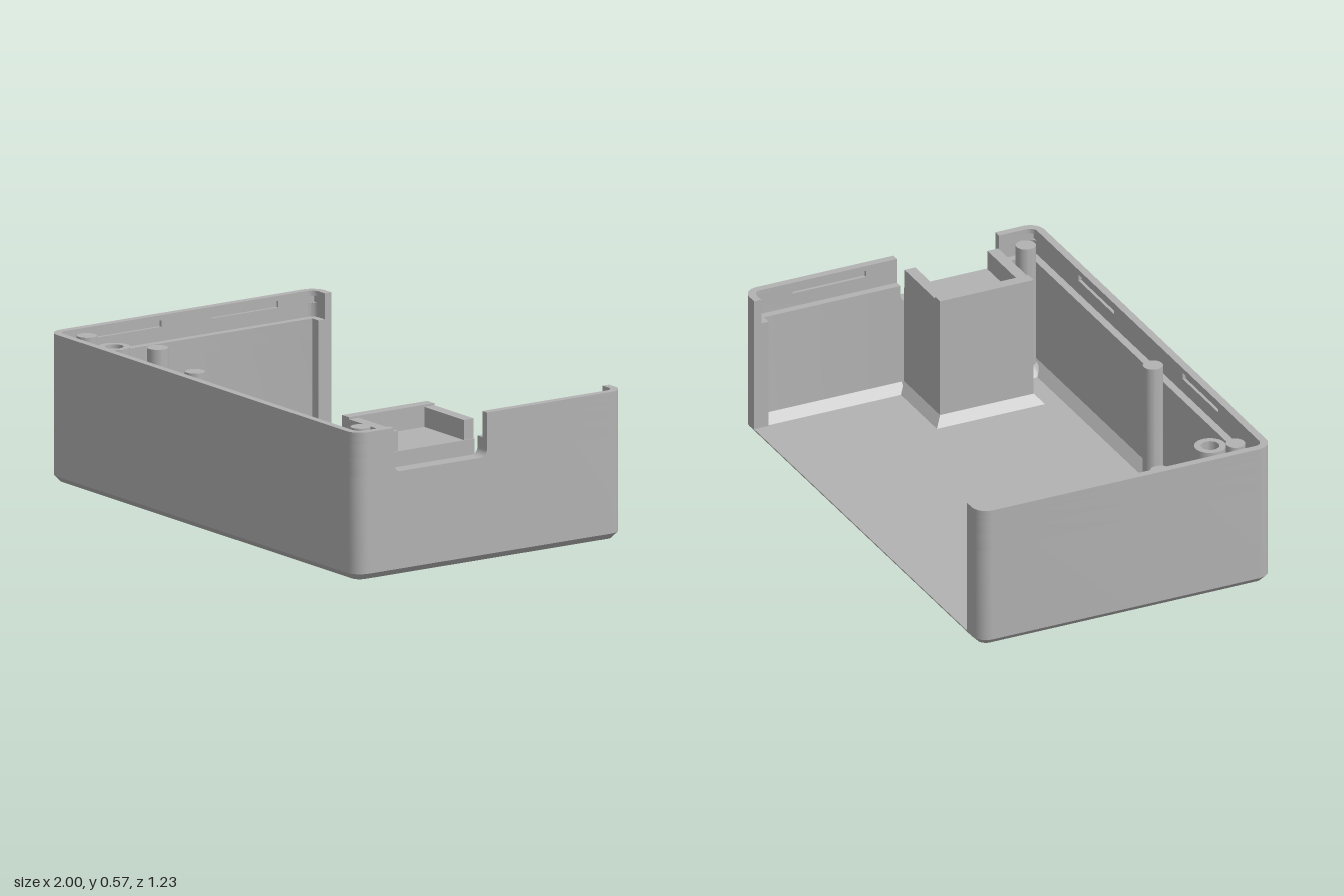
import * as THREE from 'three';
import { toCreasedNormals } from 'three/addons/utils/BufferGeometryUtils.js';

const W = 1, D = 0.615, H = 0.57;      // half width, half depth, height
const R = 0.06;                        // corner radius
const FLOOR = 0.03, LEDGE = 0.47, NOTCH = 0.4;
const IN_X = 0.94, IN_Z = 0.555;       // inner wall faces
const NZ0 = 0.015, NZ1 = 0.44;         // notch in the left wall
const BACK = 0.9;                      // half width of the open back

// one rounded plan corner: 0 back right, 1 front right, 2 front left, 3 back left
function corner(k, inset) {
  const sx = k < 2 ? -1 : 1, sz = k === 1 || k === 2 ? 1 : -1;
  const r = Math.max(R - inset, 0.002);
  const pts = [];
  for (let i = 0; i <= 8; i++) {
    const a = -Math.PI / 2 * (1 + k + i / 8);
    pts.push([sx * (W - inset - r) + r * Math.cos(a), sz * (D - inset - r) + r * Math.sin(a)]);
  }
  return pts;
}
const outline = (inset) => [0, 1, 2, 3].flatMap((k) => corner(k, inset));

// wall centre-lines, with or without the notch gap
const mainRun = (t) => [[-BACK, -D + t], ...corner(0, t), ...corner(1, t), ...corner(2, t), [W - t, NZ1]];
const backRun = (t) => [[W - t, NZ0], ...corner(3, t), [BACK, -D + t]];
const fullRun = (t) => [...mainRun(t), ...backRun(t)];

const planPts = (pts) => pts.map(([x, z]) => new THREE.Vector2(x, -z));

// extrude a plan shape upwards between two heights
function slab(shape, y0, y1) {
  const g = new THREE.ExtrudeGeometry(shape, { depth: y1 - y0, bevelEnabled: false, curveSegments: 12 });
  g.rotateX(-Math.PI / 2).translate(0, y0, 0);
  return toCreasedNormals(g, 0.5);
}
const wall = (run, t, y0, y1) =>
  slab(new THREE.Shape(planPts([...run(0), ...run(t).reverse()])), y0, y1);

// chamfered rim of the floor, lofted through inset outlines
function floorRim() {
  const loops = [[0.025, 0], [0, 0.025], [0, FLOOR], [0.025, FLOOR]];
  const pos = [], idx = [];
  const n = outline(0).length;
  loops.forEach(([inset, y]) => outline(inset).forEach(([x, z]) => pos.push(x, y, z)));
  for (let l = 0; l < loops.length - 1; l++) {
    for (let j = 0; j < n; j++) {
      const a = l * n + j, b = l * n + (j + 1) % n;
      idx.push(a, b, a + n, b, b + n, a + n);
    }
  }
  const g = new THREE.BufferGeometry();
  g.setAttribute('position', new THREE.Float32BufferAttribute(pos, 3));
  g.setIndex(idx);
  return toCreasedNormals(g, 0.5);
}

function box(x0, x1, y0, y1, z0, z1) {
  return new THREE.BoxGeometry(x1 - x0, y1 - y0, z1 - z0)
    .translate((x0 + x1) / 2, (y0 + y1) / 2, (z0 + z1) / 2);
}

// triangular strip of given length, along +z from the origin
function wedge(length, w, h) {
  const s = new THREE.Shape([new THREE.Vector2(0, 0), new THREE.Vector2(w, 0), new THREE.Vector2(0, h)]);
  return new THREE.ExtrudeGeometry(s, { depth: length, bevelEnabled: false });
}

function lathe(points, x, z) {
  const g = new THREE.LatheGeometry(points.map(([r, y]) => new THREE.Vector2(r, y)), 32);
  return toCreasedNormals(g, 0.5).translate(x, 0, z);
}

export function createModel() {
  const grey = new THREE.MeshStandardMaterial({ color: 0xb2b2b2 });
  grey.name = 'grey plastic';
  const model = new THREE.Group();
  model.name = 'enclosureBase';
  const add = (name, geometry) => {
    const m = new THREE.Mesh(geometry, grey);
    m.name = name;
    model.add(m);
  };

  // floor with flexing tab slot, screw hole and dimple under the button post
  const plate = new THREE.Shape(planPts(outline(0.025)));
  plate.holes.push(new THREE.Path(planPts([
    [-0.938, -0.07], [-0.92, -0.07], [-0.92, 0.32], [-0.725, 0.32],
    [-0.725, -0.07], [-0.705, -0.07], [-0.705, 0.34], [-0.938, 0.34],
  ])));
  for (const [x, z, r] of [[-0.815, 0.44, 0.035], [-0.845, 0.22, 0.025]]) {
    plate.holes.push(new THREE.Path().absarc(x, -z, r, 0, Math.PI * 2));
  }
  add('floor', slab(plate, 0, FLOOR));
  add('floorRim', floorRim());

  // walls: thick up to the ledge, thin lip above, snap slots inside the lip
  const S0 = 0.525, S1 = 0.55;
  add('lowerWall', wall(fullRun, W - IN_X, FLOOR, NOTCH));
  for (const run of [mainRun, backRun]) {
    add('ledgeWall', wall(run, W - IN_X, NOTCH, LEDGE));
    add('lip', wall(run, 0.03, LEDGE, S0));
    add('slotBand', wall(run, 0.018, S0, S1));
    add('lipTop', wall(run, 0.03, S1, H));
  }
  for (const [a, b] of [[-0.97, -0.59], [-0.29, 0.29], [0.59, 0.97]]) {
    add('frontLipFill', box(a, b, S0, S1, 0.585, 0.597));
  }
  for (const [a, b] of [[-0.585, -0.42], [-0.115, 0.115], [0.42, 0.585]]) {
    add('rightLipFill', box(-0.982, -0.97, S0, S1, a, b));
  }
  for (const [a, b] of [[-0.585, -0.42], [-0.115, NZ0], [NZ1, 0.585]]) {
    add('leftLipFill', box(0.97, 0.982, S0, S1, a, b));
  }
  for (const [a, b] of [[-0.97, -BACK], [BACK, 0.97]]) {
    add('backLipFill', box(a, b, S0, S1, -0.597, -0.585));
  }

  // rounded lower corners of the notch
  const f = 0.03;
  const fillet = new THREE.Shape();
  fillet.moveTo(0, 0);
  fillet.lineTo(f, 0);
  fillet.absarc(f, f, f, -Math.PI / 2, -Math.PI, true);
  const filletGeo = () => new THREE.ExtrudeGeometry(fillet, { depth: W - IN_X, bevelEnabled: false, curveSegments: 8 });
  add('notchFillet', toCreasedNormals(filletGeo().rotateY(-Math.PI / 2).translate(W, NOTCH, NZ0), 0.5));
  add('notchFillet', toCreasedNormals(filletGeo().rotateY(Math.PI / 2).translate(IN_X, NOTCH, NZ1), 0.5));

  // sloped strips where floor meets walls
  const cw = 0.035, ch = 0.035;
  add('frontSlope', wedge(2 * IN_X, cw, ch).rotateY(Math.PI / 2).translate(-IN_X, FLOOR, IN_Z));
  for (const [a, b] of [[-IN_Z, -0.07], [0.34, IN_Z]]) {
    add('rightSlope', wedge(b - a, cw, ch).translate(-IN_X, FLOOR, a));
  }
  for (const [a, b] of [[-IN_Z, 0.02], [0.43, IN_Z]]) {
    add('leftSlope', wedge(b - a, cw, ch).rotateY(Math.PI).translate(IN_X, FLOOR, b));
  }

  // switch block: flared foot, solid body and three-sided rim
  const foot = box(0.6, IN_X, FLOOR, FLOOR + ch, 0, 0.45);
  const p = foot.attributes.position;
  for (let i = 0; i < p.count; i++) {
    if (p.getY(i) < FLOOR + ch / 2) continue;
    if (p.getX(i) < 0.8) p.setX(i, 0.635);
    p.setZ(i, p.getZ(i) < 0.2 ? 0.03 : 0.42);
  }
  foot.computeVertexNormals();
  add('switchFoot', foot);
  add('switchBlock', box(0.635, IN_X, FLOOR, 0.46, 0.03, 0.42));
  add('switchRimInner', box(0.635, 0.68, 0.46, 0.545, 0.03, 0.42));
  add('switchRimFront', box(0.68, 0.935, 0.46, 0.537, 0.375, 0.42));
  add('switchRimBack', box(0.68, 0.935, 0.46, 0.537, 0.03, 0.075));

  // hollow screw boss, button post on the tab, and locating pegs
  add('screwBoss', lathe([[0.1, FLOOR], [0.06, 0.075], [0.06, 0.525], [0.035, 0.525], [0.035, 0]], -0.815, 0.44));
  add('buttonPost', lathe([[0, FLOOR], [0.067, FLOOR], [0.04, 0.06], [0.04, 0.485], [0, 0.485]], -0.845, 0.22));
  for (const x of [-0.9, -0.2, 0.875]) {
    add('locatingPeg', lathe([[0.07, FLOOR], [0.038, 0.065], [0.038, 0.56], [0, 0.56]], x, 0.505));
  }
  return model;
}
